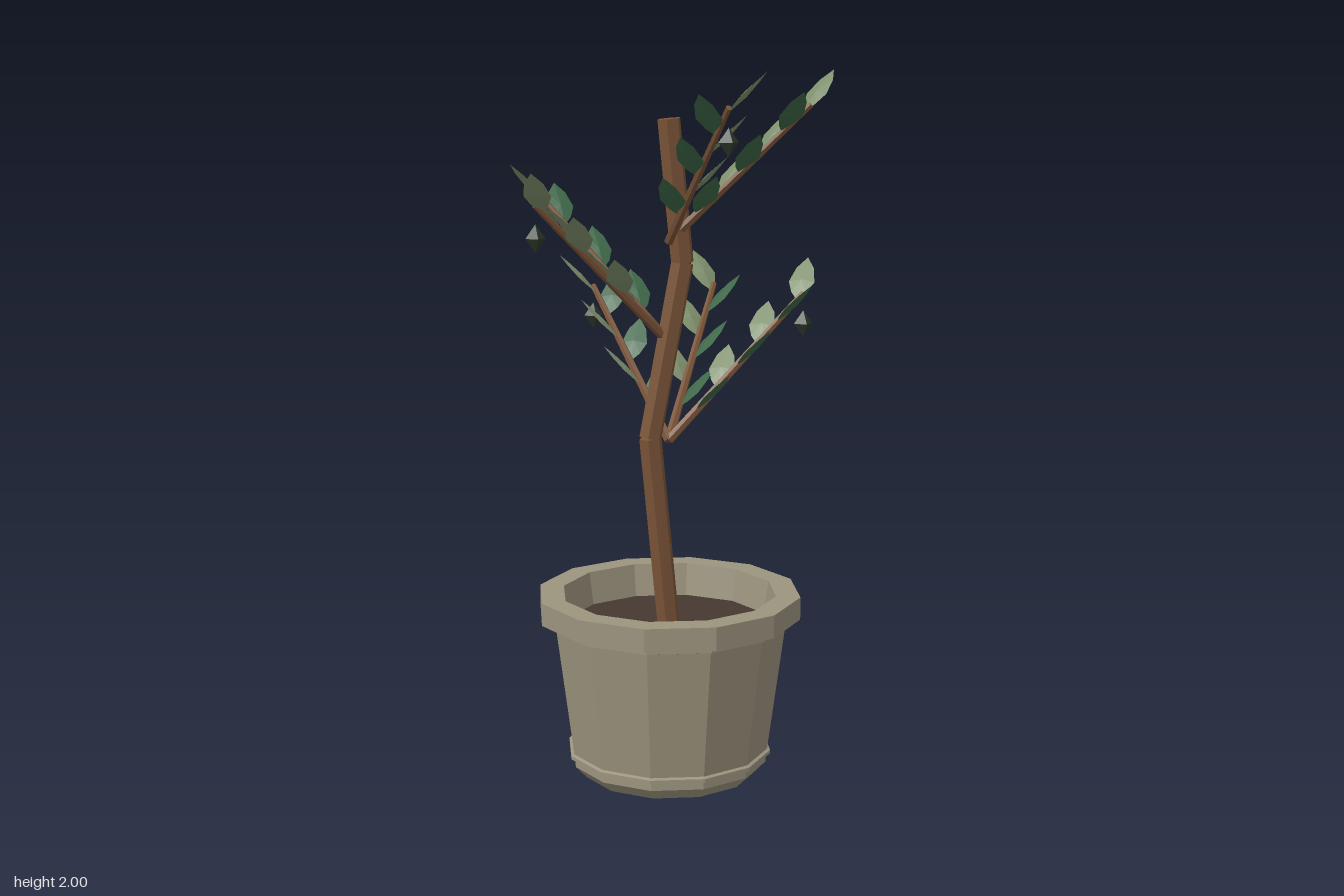
import * as THREE from 'three';

const UP = new THREE.Vector3(0, 1, 0);
const mat = (color, extra = {}) =>
  new THREE.MeshStandardMaterial({ color, flatShading: true, ...extra });
const V = (x, y, z) => new THREE.Vector3(x, y, z);

// Tapered six-sided stick between two points
function stick(name, a, b, r0, r1, material) {
  const dir = b.clone().sub(a);
  const geo = new THREE.CylinderGeometry(r1, r0, dir.length(), 6);
  geo.rotateY(Math.PI / 6);
  const mesh = new THREE.Mesh(geo, material);
  mesh.name = name;
  mesh.position.copy(a).add(b).multiplyScalar(0.5);
  mesh.quaternion.setFromUnitVectors(UP, dir.normalize());
  return mesh;
}

// Thin faceted leaf: pointed outline along +x, peaked slightly above and below
function leafGeometry(length, width, thick) {
  const half = [[0, 0], [0.18, 0.6], [0.42, 1], [0.75, 0.68], [1, 0]];
  const ring = [
    ...half.map(([x, z]) => V(x * length, 0, z * width / 2)),
    ...half.slice(1, -1).reverse().map(([x, z]) => V(x * length, 0, -z * width / 2)),
  ];
  const top = V(length * 0.45, thick, 0);
  const bottom = V(length * 0.45, -thick, 0);
  const pts = [];
  ring.forEach((p, i) => {
    const q = ring[(i + 1) % ring.length];
    pts.push(top, p, q, bottom, q, p);
  });
  const geo = new THREE.BufferGeometry().setFromPoints(pts);
  geo.computeVertexNormals();
  return geo;
}

export function createModel() {
  const model = new THREE.Group();
  model.name = 'pottedTree';
  model.position.set(-0.008, 0, -0.012);

  const clay = mat(0x9c947e);
  const bark = mat(0x7a5438);
  const soilMat = mat(0x453831);
  const darkLeaf = mat(0x3f6849, { side: THREE.DoubleSide });
  const paleLeaf = mat(0x7d8f6c, { side: THREE.DoubleSide });
  const fruitMat = mat(0x2e3a2c);

  // Pot: twelve-sided, with foot, thin bead, tapered wall and heavy rim
  const profile = [
    [0, 0], [0.25, 0], [0.283, 0.035], [0.283, 0.058], [0.296, 0.06], [0.296, 0.07],
    [0.287, 0.074], [0.336, 0.445], [0.345, 0.448], [0.345, 0.458], [0.378, 0.465],
    [0.378, 0.53], [0.308, 0.53], [0.292, 0.43],
  ].map(([r, y]) => new THREE.Vector2(r, y));
  const pot = new THREE.Mesh(new THREE.LatheGeometry(profile, 12), clay);
  pot.name = 'pot';
  model.add(pot);

  // Soil
  const soil = new THREE.Mesh(new THREE.CylinderGeometry(0.294, 0.28, 0.02, 12), soilMat);
  soil.name = 'soil';
  soil.position.y = 0.425;
  model.add(soil);

  // Trunk: three straight crooked lengths
  const joints = [V(0, 0.42, 0), V(-0.055, 0.98, 0), V(0.04, 1.47, 0), V(0, 1.865, 0)];
  for (let i = 0; i < 3; i++) {
    model.add(stick('trunk', joints[i], joints[i + 1], 0.033, 0.033, bark));
  }

  // Branches: base height, tip x/y/z, whether a fruit hangs from the tip
  const branches = [
    [0.97, 0.407, 1.37, 0, true],
    [0.97, -0.104, 1.37, -0.366, true],
    [0.97, 0.247, 1.37, -0.293, false],
    [1.25, -0.4, 1.645, 0.065, true],
    [1.25, -0.296, 1.645, -0.252, false],
    [1.53, 0.334, 1.905, 0.2, false],
    [1.53, 0.031, 1.905, 0.368, true],
  ];
  const leafGeo = leafGeometry(0.155, 0.076, 0.007);
  const fruitGeo = new THREE.OctahedronGeometry(1, 0);
  fruitGeo.scale(0.028, 0.038, 0.028);

  for (const [baseY, x, y, z, hasFruit] of branches) {
    const group = new THREE.Group();
    group.name = 'branch';
    const base = V(0, baseY, 0);
    const tip = V(x, y, z);
    group.add(stick('branchStem', base, tip, 0.014, 0.009, bark));

    // Six leaves alternate from side to side along the branch
    const out = V(x, 0, z).normalize();
    const across = V(-out.z, 0, out.x);
    for (let i = 0; i < 6; i++) {
      const side = i % 2 ? -1 : 1;
      const along = out.clone().multiplyScalar(0.07)
        .addScaledVector(across, 0.083 * side)
        .addScaledVector(UP, 0.11)
        .normalize();
      const wide = along.clone().cross(UP).normalize();
      const normal = wide.clone().cross(along);
      const leaf = new THREE.Mesh(leafGeo, side > 0 ? darkLeaf : paleLeaf);
      leaf.name = 'leaf';
      leaf.quaternion.setFromRotationMatrix(new THREE.Matrix4().makeBasis(along, normal, wide));
      leaf.position.lerpVectors(base, tip, 0.2 + 0.15 * i);
      group.add(leaf);
    }

    if (hasFruit) {
      const fruit = new THREE.Mesh(fruitGeo, fruitMat);
      fruit.name = 'fruit';
      fruit.position.set(x, y - 0.088, z);
      group.add(fruit);
    }
    model.add(group);
  }

  const root = new THREE.Group();
  root.name = 'pottedTreeRoot';
  root.add(model);
  return root;
}
